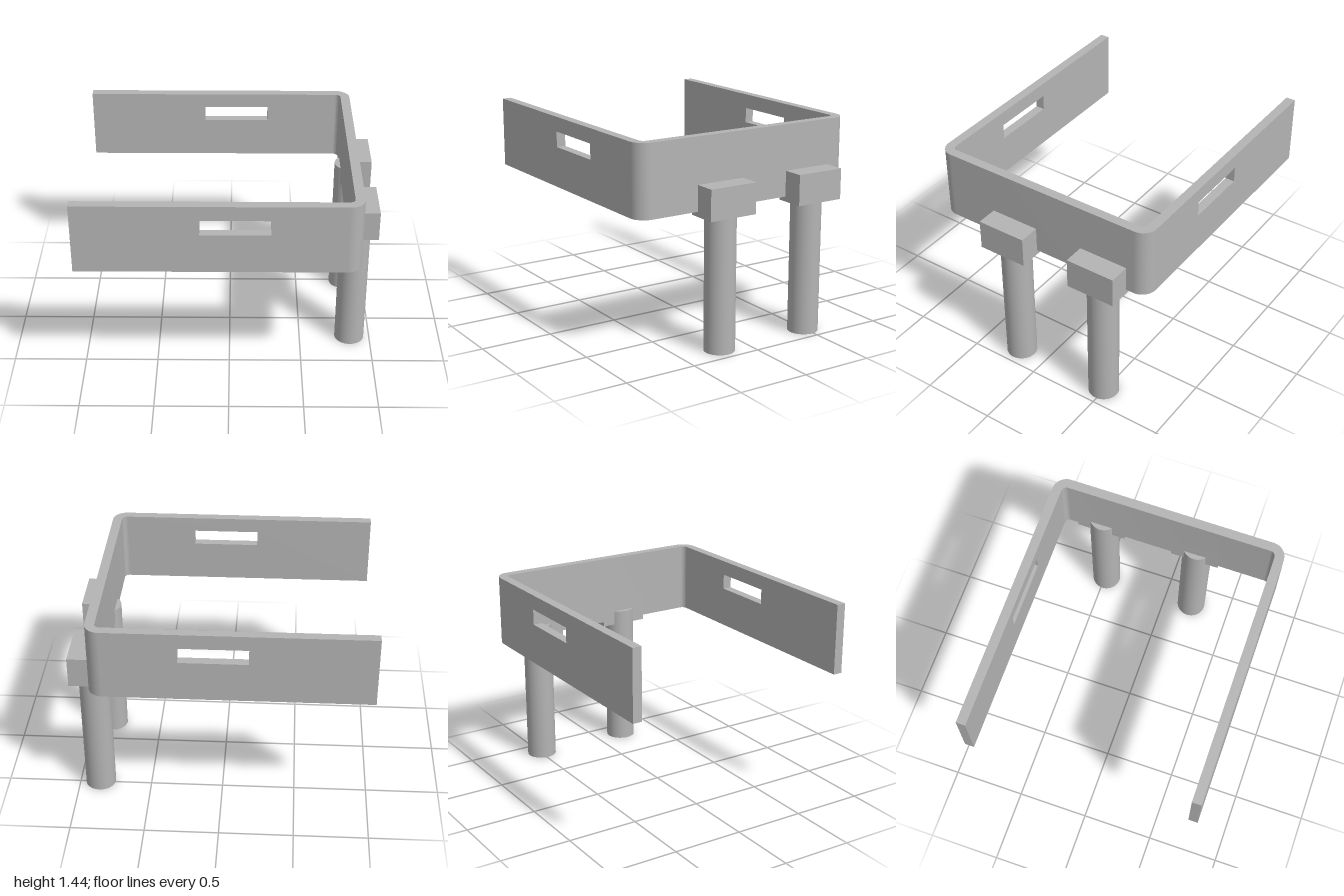
import * as THREE from 'three';
import { toCreasedNormals } from 'three/addons/utils/BufferGeometryUtils.js';

const BACK = -1, OUTER = 0.855, HALF = 0.816, THICK = 0.064; // strap plan
const BOTTOM = 0.96, TOP = 1.444;                            // strap height
const R_OUT = 0.1, R_IN = R_OUT - THICK;                     // bend radii
const BEND = OUTER - R_OUT;                                  // x where the bends start

const rectangle = (target, x0, y0, x1, y1) => {
  target.moveTo(x0, y0);
  target.lineTo(x1, y0);
  target.lineTo(x1, y1);
  target.lineTo(x0, y1);
  target.closePath();
  return target;
};

// Flat side arm with a rectangular slot
function armGeometry() {
  const shape = rectangle(new THREE.Shape(), BACK, BOTTOM, BEND, TOP);
  shape.holes.push(rectangle(new THREE.Path(), -0.186, 1.237, 0.268, 1.343));
  return new THREE.ExtrudeGeometry(shape, { depth: THICK, bevelEnabled: false });
}

// End wall with both rounded bends, drawn in plan and extruded upward
function endWallGeometry() {
  const q = Math.PI / 2, c = HALF - R_OUT;
  const shape = new THREE.Shape();
  shape.moveTo(BEND, -HALF);
  shape.absarc(BEND, -c, R_OUT, -q, 0, false);
  shape.absarc(BEND, c, R_OUT, 0, q, false);
  shape.lineTo(BEND, HALF - THICK);
  shape.absarc(BEND, c, R_IN, q, 0, true);
  shape.absarc(BEND, -c, R_IN, 0, -q, true);
  shape.closePath();
  const geometry = new THREE.ExtrudeGeometry(shape, {
    depth: TOP - BOTTOM, bevelEnabled: false, curveSegments: 16,
  });
  geometry.rotateX(-Math.PI / 2).translate(0, BOTTOM, 0);
  return toCreasedNormals(geometry, 0.6);
}

// Round post with a narrow bore opening at the foot
function postGeometry() {
  const profile = [[0, 0.9], [0.027, 0.9], [0.027, 0], [0.104, 0], [0.104, 1.03], [0, 1.03]]
    .map(([r, y]) => new THREE.Vector2(r, y));
  return toCreasedNormals(new THREE.LatheGeometry(profile, 48), 0.6);
}

export function createModel() {
  const model = new THREE.Group();
  model.name = 'slottedBracket';
  const grey = new THREE.MeshStandardMaterial({ color: 0xb4b4b4 });
  grey.name = 'plain grey';

  const add = (name, geometry, x = 0, y = 0, z = 0) => {
    const mesh = new THREE.Mesh(geometry, grey);
    mesh.name = name;
    mesh.position.set(x, y, z);
    model.add(mesh);
  };

  // U-shaped strap
  const arm = armGeometry();
  add('frontArm', arm, 0, 0, HALF - THICK);
  add('rearArm', arm, 0, 0, -HALF);
  add('endWall', endWallGeometry());

  // Two posts, each held by a block on the end wall
  const inner = OUTER - THICK;
  const block = new THREE.BoxGeometry(1 - inner, 0.208, 0.346);
  const post = postGeometry();
  for (const [side, z] of [['front', 0.207], ['rear', -0.488]]) {
    add(side + 'Block', block, (1 + inner) / 2, 1.03, z);
    add(side + 'Post', post, 0.857, 0, z);
  }
  return model;
}
